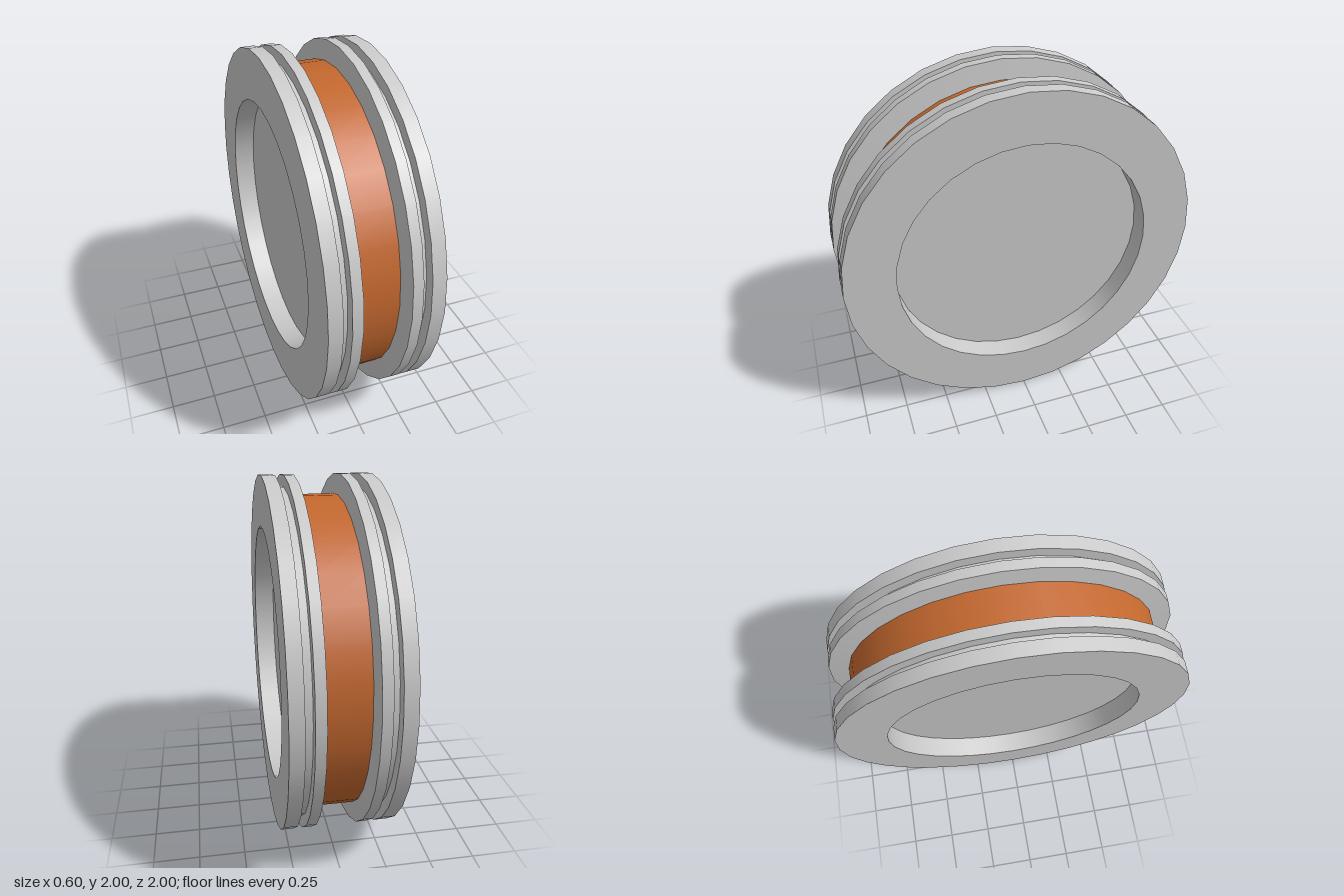
import * as THREE from 'three';
import { mergeGeometries } from 'three/addons/utils/BufferGeometryUtils.js';

const SIDES = 32;

// Turn a [radius, axial] profile about the x axis, with a sharp edge at every profile point.
function turned(profile) {
  const bands = [];
  for (let i = 0; i < profile.length - 1; i++) {
    const points = [profile[i], profile[i + 1]].map(([r, a]) => new THREE.Vector2(r, a));
    bands.push(new THREE.LatheGeometry(points, SIDES));
  }
  return mergeGeometries(bands).rotateZ(-Math.PI / 2);
}

export function createModel() {
  const group = new THREE.Group();
  group.name = 'grooved wheel';
  const grey = new THREE.MeshStandardMaterial({ color: 0xcccccc });
  const orange = new THREE.MeshStandardMaterial({ color: 0xc4682f });

  // Flange: tapered inner wall, narrow rim groove, recessed outer face
  const flangeGeometry = turned([
    [0.89, 0.113], [1, 0.125], [1, 0.18],
    [0.937, 0.18], [0.937, 0.225], [1, 0.225],
    [1, 0.3], [0.72, 0.3], [0.72, 0.18], [0, 0.18],
  ]);
  for (const [name, turn] of [['leftFlange', 0], ['rightFlange', Math.PI]]) {
    const flange = new THREE.Mesh(flangeGeometry, grey);
    flange.name = name;
    flange.rotation.y = turn;
    flange.position.y = 1;
    group.add(flange);
  }

  // Coloured band at the bottom of the central channel
  const band = new THREE.Mesh(turned([[0.89, -0.113], [0.89, 0.113]]), orange);
  band.name = 'channelBand';
  band.position.y = 1;
  group.add(band);

  return group;
}
